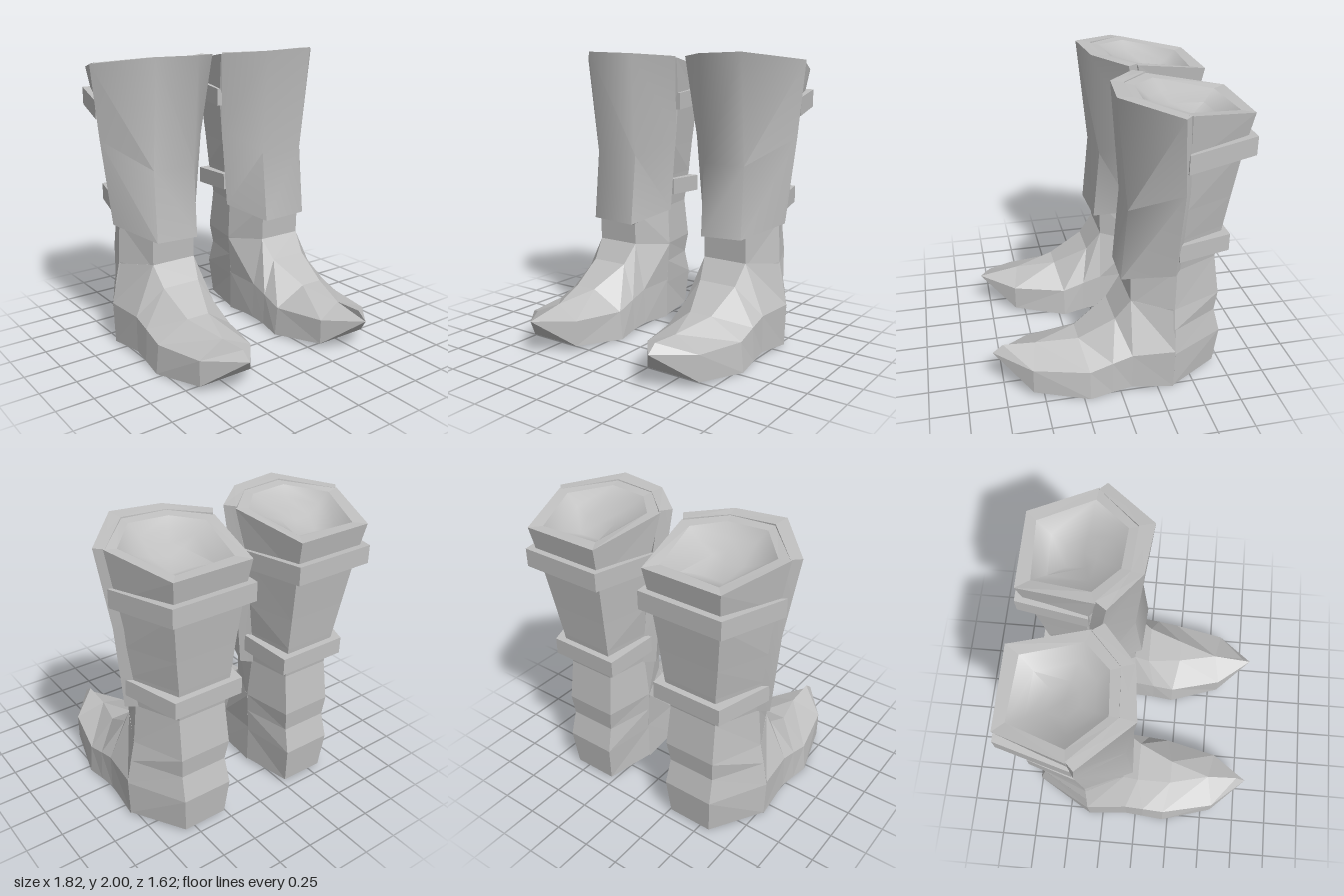
import * as THREE from 'three';
import { toCreasedNormals } from 'three/addons/utils/BufferGeometryUtils.js';

// Skin a list of equal-length rings; side = -1 mirrors the part in x.
function loft(rings, side, { start = true, end = true, crease = 0 } = {}) {
  const out = [];
  const tri = (a, b, c) => {
    const [p, q, r] = [a, b, c].map(v => new THREE.Vector3(v[0] * side, v[1], v[2]));
    const area = q.clone().sub(p).cross(r.clone().sub(p)).length();
    if (area < 1e-6) return;
    for (const v of side > 0 ? [p, q, r] : [p, r, q]) out.push(v.x, v.y, v.z);
  };
  const n = rings[0].length;
  for (let k = 0; k < rings.length - 1; k++) {
    const a = rings[k], b = rings[k + 1];
    for (let i = 0; i < n; i++) {
      const j = (i + 1) % n;
      tri(a[i], a[j], b[j]);
      tri(a[i], b[j], b[i]);
    }
  }
  const cap = (ring, flip) => {
    const c = [0, 1, 2].map(d => ring.reduce((s, p) => s + p[d], 0) / n);
    ring.forEach((p, i) => {
      const q = ring[(i + 1) % n];
      flip ? tri(c, q, p) : tri(c, p, q);
    });
  };
  if (start) cap(rings[0], true);
  if (end) cap(rings[rings.length - 1], false);
  const g = new THREE.BufferGeometry();
  g.setAttribute('position', new THREE.Float32BufferAttribute(out, 3));
  g.computeVertexNormals();
  return crease ? toCreasedNormals(g, crease) : g;
}

// Six-sided leg ring: inner side, two front, outer side, two back corners.
const legRing = (y, xi, xo, zSide, fi, fo, zFront, bi, bo, zBack) => [
  [xi, y, zSide], [fi, y, zFront], [fo, y, zFront],
  [xo, y, zSide], [bo, y, zBack], [bi, y, zBack],
];

// Foot ring at one station: sole pair, crease pair, instep pair.
const footRing = (z, yb, bi, bo, yc, ci, co, zt, yt, ti, to) => [
  [bi, yb, z], [bo, yb, z], [co, yc, z], [to, yt, zt], [ti, yt, zt], [ci, yc, z],
];

// Top edge, highest at the shin and lowest at the calf
const topRing = [
  [0.08, 1.96, -0.29], [0.30, 1.98, -0.08], [0.60, 1.985, -0.06],
  [0.87, 1.95, -0.35], [0.71, 1.88, -0.79], [0.18, 1.88, -0.79],
];
const openingRing = [
  [0.16, 1.95, -0.32], [0.32, 1.965, -0.16], [0.59, 1.97, -0.14],
  [0.79, 1.94, -0.36], [0.65, 1.88, -0.72], [0.24, 1.88, -0.70],
];

const legRings = [
  legRing(0.02, 0.20, 0.79, -0.35, 0.30, 0.62, -0.33, 0.27, 0.58, -0.695),
  legRing(0.28, 0.20, 0.80, -0.35, 0.30, 0.62, -0.15, 0.25, 0.60, -0.72),
  legRing(0.45, 0.19, 0.77, -0.35, 0.30, 0.62, -0.12, 0.26, 0.59, -0.675),
  legRing(0.59, 0.18, 0.74, -0.35, 0.30, 0.62, -0.09, 0.24, 0.60, -0.69),
  legRing(0.87, 0.20, 0.72, -0.36, 0.30, 0.62, -0.08, 0.25, 0.59, -0.65),
  legRing(1.10, 0.18, 0.75, -0.37, 0.30, 0.61, -0.11, 0.23, 0.61, -0.68),
  legRing(1.32, 0.15, 0.78, -0.38, 0.30, 0.60, -0.12, 0.22, 0.64, -0.705),
  legRing(1.64, 0.12, 0.82, -0.37, 0.30, 0.60, -0.11, 0.20, 0.68, -0.745),
  topRing,
];

const tip = [0.485, 0.245, 0.81], toeTop = [0.485, 0.30, 0.74];
const footRings = [
  footRing(-0.35, 0.01, 0.20, 0.79, 0.30, 0.20, 0.80, -0.35, 0.58, 0.18, 0.74),
  footRing(-0.07, 0.04, 0.20, 0.77, 0.29, 0.21, 0.77, -0.09, 0.62, 0.30, 0.62),
  footRing(0.06, 0.025, 0.20, 0.78, 0.25, 0.21, 0.77, 0.01, 0.48, 0.33, 0.60),
  footRing(0.21, 0.00, 0.19, 0.79, 0.20, 0.21, 0.77, 0.25, 0.34, 0.41, 0.57),
  footRing(0.57, 0.04, 0.30, 0.69, 0.215, 0.30, 0.69, 0.53, 0.29, 0.49, 0.49),
  [tip, tip, tip, toeTop, toeTop, tip],
];

// Shin guard: four outer points, then four points back along the leg.
const guardRing = (a, b, c, d, inset) => [
  a, b, c, d,
  [d[0] - inset, d[1], d[2] - 0.05],
  [c[0] - 0.02, c[1] - 0.01, c[2] - 0.1],
  [b[0] + 0.02, b[1] - 0.01, b[2] - 0.08],
  [a[0] + inset, a[1], a[2] - 0.07],
];
const guardRings = [
  guardRing([0.14, 0.86, -0.31], [0.30, 0.77, -0.04], [0.62, 0.79, -0.02], [0.78, 0.87, -0.33], 0.07),
  guardRing([0.09, 1.42, -0.30], [0.29, 1.27, -0.08], [0.61, 1.27, -0.06], [0.84, 1.45, -0.35], 0.06),
  guardRing([0.04, 1.97, -0.22], [0.28, 1.99, -0.02], [0.62, 2.00, 0.02], [0.91, 1.95, -0.30], 0.05),
];

// Strap slab wrapping the calf
const strapRings = (ySide, yBack, h, xs, xb, zBack) => [0, h].map(d => [
  [xs[0], ySide + d, -0.35], [xs[1], ySide + d, -0.35],
  [xb[1], yBack + d, zBack], [xb[0], yBack + d, zBack],
]);

// Shallow bowl inside the opening
const shrink = (f, drop) => openingRing.map(([x, y, z]) =>
  [0.48 + (x - 0.48) * f, y - drop, -0.41 + (z + 0.41) * f]);

function makeBoot(side, material) {
  const boot = new THREE.Group();
  const add = (name, rings, options) => {
    const mesh = new THREE.Mesh(loft(rings, side, options), material);
    mesh.name = name;
    boot.add(mesh);
  };
  add('leg', legRings, { end: false });
  add('foot', footRings, { end: false });
  add('topRim', [topRing, openingRing], { start: false, end: false });
  add('opening', [openingRing, shrink(0.7, 0.06), shrink(0.35, 0.1)], { start: false, crease: 1.0 });

  // The guard is a C-shaped shell, so its end faces are strips rather than fans.
  add('shinGuard', guardRings, { start: false, end: false, crease: 0.95 });
  const edge = (ring, up) => {
    for (let i = 0; i < 3; i++) {
      const quad = [ring[i], ring[i + 1], ring[6 - i], ring[7 - i]];
      const r = up ? quad : quad.slice().reverse();
      add(up ? 'guardTopEdge' : 'guardBottomEdge', [r], { start: false });
    }
  };
  edge(guardRings[2], true);
  edge(guardRings[0], false);

  add('upperStrap', strapRings(1.59, 1.62, 0.12, [0.09, 0.86], [0.16, 0.73], -0.81));
  add('lowerStrap', strapRings(0.965, 0.945, 0.115, [0.14, 0.78], [0.17, 0.66], -0.715));
  return boot;
}

export function createModel() {
  const grey = new THREE.MeshStandardMaterial({ color: 0xbfbfbf });
  grey.name = 'grey';
  const model = new THREE.Group();
  model.name = 'boots';
  for (const side of [1, -1]) {
    const boot = makeBoot(side, grey);
    boot.name = side > 0 ? 'leftBoot' : 'rightBoot';
    model.add(boot);
  }
  return model;
}
